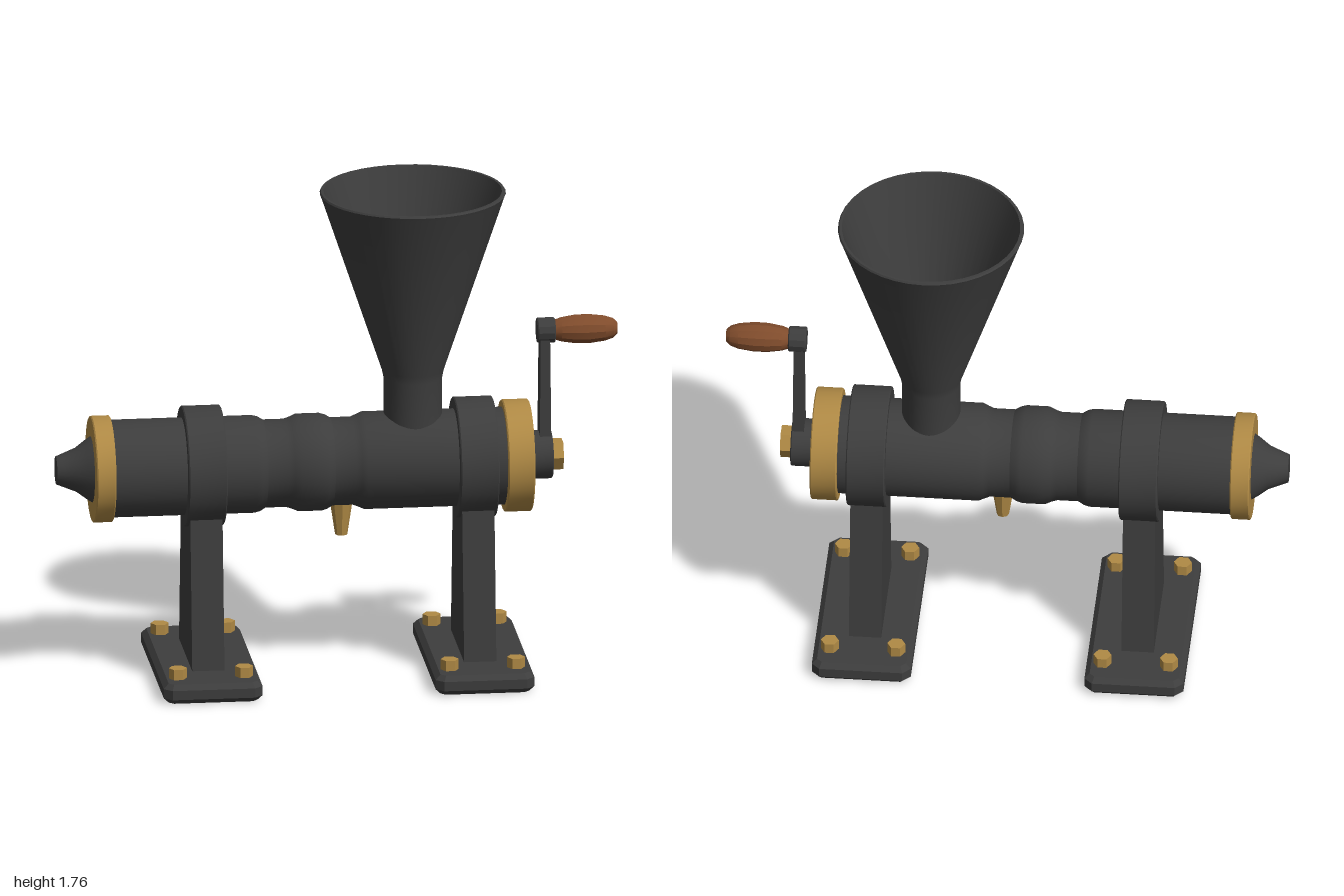
import * as THREE from 'three';
import { toCreasedNormals } from 'three/addons/utils/BufferGeometryUtils.js';

const mat = (name, color) => new THREE.MeshStandardMaterial({ name, color });

export function createModel() {
  const iron = mat('castIron', 0x3d3d3d);
  const brass = mat('brass', 0xb08a45);
  const wood = mat('wood', 0x804c2c);
  const root = new THREE.Group();
  root.name = 'handCrankGrinder';
  const AXIS = 0.768;

  function add(name, geo, material, x = 0, y = 0, z = 0, parent = root) {
    const m = new THREE.Mesh(toCreasedNormals(geo, 0.5), material);
    m.name = name;
    m.position.set(x, y, z);
    parent.add(m);
    return m;
  }

  // Lathe from [radius, height] pairs, listed upward for outer walls
  const lathe = (pts, seg = 32) =>
    new THREE.LatheGeometry(pts.map(([r, h]) => new THREE.Vector2(r, h)), seg);
  // Turned part along x from [x, radius] pairs, listed left to right
  const turned = (pts, seg = 32) =>
    lathe(pts.map(([x, r]) => [r, x]), seg).rotateZ(-Math.PI / 2);
  // Solid disc along x
  const disc = (x0, x1, r, seg = 32, bevel = 0.004) =>
    turned([[x0, 0], [x0, r - bevel], [x0 + bevel, r], [x1 - bevel, r], [x1, r - bevel], [x1, 0]], seg);

  // Barrel with a waisted middle
  add('barrel', turned([
    [-0.84, 0], [-0.84, 0.174], [-0.3, 0.174], [-0.28, 0.169], [-0.26, 0.157], [-0.185, 0.157],
    [-0.165, 0.163], [-0.14, 0.174], [-0.06, 0.174], [-0.04, 0.168], [-0.02, 0.157], [0.055, 0.157],
    [0.075, 0.165], [0.095, 0.174], [0.62, 0.174], [0.62, 0]]), iron, 0, AXIS);
  add('outletCap', disc(-0.874, -0.805, 0.19), brass, 0, AXIS);
  add('outletNozzle', turned([
    [-1, 0], [-1, 0.05], [-0.975, 0.06], [-0.93, 0.078], [-0.895, 0.104], [-0.87, 0.12]], 24), iron, 0, AXIS);
  add('crankEndCap', disc(0.592, 0.687, 0.2), brass, 0, AXIS);

  // Hopper, open at the top
  add('hopper', lathe([
    [0.104, 0.86], [0.104, 1.07], [0.11, 1.1], [0.325, 1.74], [0.33, 1.752], [0.326, 1.758], [0.316, 1.758],
    [0.31, 1.74], [0.097, 1.1], [0.09, 1.07], [0.09, 0.86]], 40), iron, 0.272);

  // Drain spout under the barrel
  add('drainSpout', new THREE.CylinderGeometry(0.04, 0.022, 0.12, 8), brass, 0.017, 0.558);

  // Two stands, each with collar, leg, foot plate and bolts
  const legShape = new THREE.Shape([
    [-0.205, 0.06], [0.205, 0.06], [0.13, 0.74], [-0.13, 0.74]].map(p => new THREE.Vector2(...p)));
  const a = 0.158, b = 0.362, c = 0.018;
  const footShape = new THREE.Shape([
    [-a, -b + c], [-a + c, -b], [a - c, -b], [a, -b + c],
    [a, b - c], [a - c, b], [-a + c, b], [-a, b - c]].map(p => new THREE.Vector2(...p)));

  for (const [side, x] of [['right', -0.48], ['left', 0.489]]) {
    const stand = new THREE.Group();
    stand.name = side + 'Stand';
    stand.position.x = x;
    root.add(stand);
    add('collar', disc(-0.069, 0.069, 0.215), iron, 0, AXIS, 0, stand);
    const leg = new THREE.ExtrudeGeometry(legShape, { depth: 0.115, bevelEnabled: false });
    add('leg', leg.translate(0, 0, -0.0575).rotateY(Math.PI / 2), iron, 0, 0, 0, stand);
    const foot = new THREE.ExtrudeGeometry(footShape,
      { depth: 0.034, bevelThickness: 0.018, bevelSize: 0.018, bevelSegments: 1 });
    add('footPlate', foot.rotateX(-Math.PI / 2), iron, 0, 0.018, 0, stand);
    for (const sx of [-1, 1]) for (const sz of [-1, 1])
      add('bolt', new THREE.CylinderGeometry(0.032, 0.032, 0.045, 6).rotateY(Math.PI / 6),
        brass, sx * 0.118, 0.085, sz * 0.28, stand);
  }

  // Crank: hub, nut, arm, end boss and wooden grip
  const crank = new THREE.Group();
  crank.name = 'crank';
  crank.position.y = AXIS;
  root.add(crank);
  add('crankHub', disc(0.68, 0.766, 0.086, 24), iron, 0, 0, 0, crank);
  add('crankNut', new THREE.CylinderGeometry(0.057, 0.057, 0.05, 6).rotateZ(Math.PI / 2),
    brass, 0.78, 0, 0, crank);
  const arm = new THREE.BoxGeometry(0.042, 0.44, 0.08);
  const p = arm.attributes.position;
  for (let i = 0; i < p.count; i++)
    if (p.getY(i) > 0) p.setXYZ(i, p.getX(i) * 0.8, p.getY(i), p.getZ(i) * 0.85);
  add('crankArm', arm, iron, 0.741, 0.22, 0, crank);
  add('gripBoss', disc(0.714, 0.778, 0.046, 12), iron, 0, 0.459, 0, crank);
  add('grip', turned([
    [0.775, 0], [0.775, 0.035], [0.8, 0.044], [0.85, 0.052], [0.9, 0.053],
    [0.955, 0.046], [0.985, 0.036], [1, 0.022], [1, 0]], 12), wood, 0, 0.459, 0, crank);

  return root;
}
